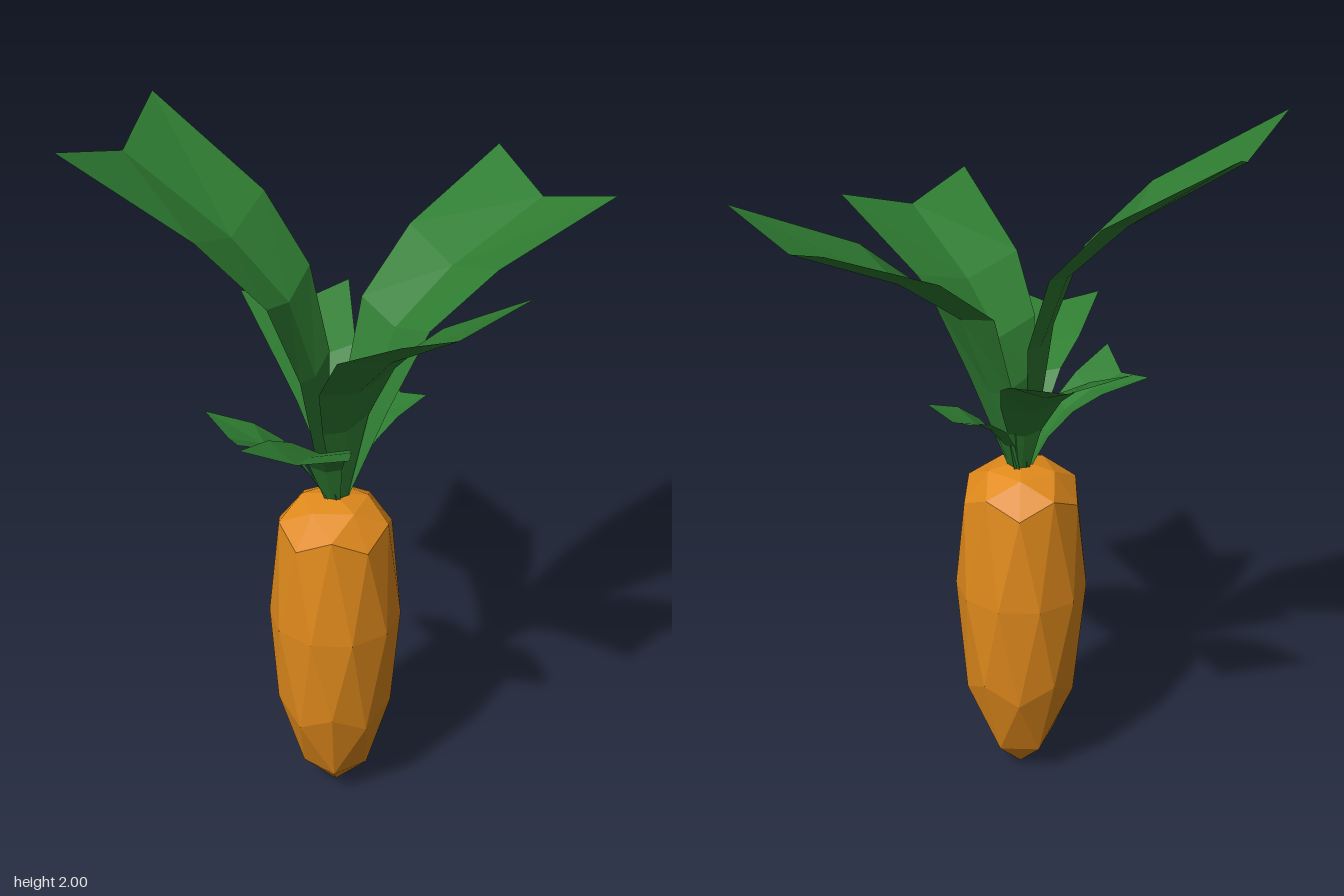
import * as THREE from 'three';
import { ConvexGeometry } from 'three/addons/geometries/ConvexGeometry.js';

const V = (x, y, z) => new THREE.Vector3(x, y, z);
const CROWN = V(-0.045, 1.0, 0.015);

const orange = new THREE.MeshStandardMaterial({ color: 0xe08a1c, flatShading: true });
const green = new THREE.MeshStandardMaterial({ color: 0x2f7d32, flatShading: true, side: THREE.DoubleSide });

// Root: a faceted, stretched ball made of rings [height, radius, sides, start angle in degrees]
function makeRoot() {
  const rings = [
    [0, 0, 1, 0],
    [0.095, 0.098, 5, 36],
    [0.295, 0.163, 5, 0],
    [0.35, 0.172, 5, 36],
    [0.62, 0.189, 10, 18],
    [0.9, 0.168, 5, 0],
    [0.945, 0.16, 5, 36],
    [0.992, 0.098, 5, 0],
    [1.012, 0, 1, 0],
  ];
  const points = [];
  for (const [y, r, sides, start] of rings) {
    for (let i = 0; i < sides; i++) {
      const a = THREE.MathUtils.degToRad(start + (360 / sides) * i);
      points.push(V(-0.05 + r * Math.cos(a), y, 0.02 + r * Math.sin(a)));
    }
  }
  const root = new THREE.Mesh(new ConvexGeometry(points), orange);
  root.name = 'root';
  return root;
}

// Leaf: a strip folded along its middle, widening to a notched tip.
// Each row holds one edge point and the opposite edge point, from stem to tip.
function makeLeaf(name, rows) {
  const edges = rows.map((r) => [V(...r.slice(0, 3)), V(...r.slice(3))]);
  const across = edges[0][1].clone().sub(edges[0][0]).normalize().multiplyScalar(0.022);
  const outward = edges[0][0].clone().add(edges[0][1]).multiplyScalar(0.5).sub(CROWN).setY(0);
  const foot = CROWN.clone().add(outward.normalize().multiplyScalar(0.025));
  edges.unshift([foot.clone().sub(across), foot.clone().add(across)]);

  const positions = [];
  const index = [];
  edges.forEach(([a, b], i) => {
    const width = a.distanceTo(b);
    const mid = a.clone().add(b).multiplyScalar(0.5);
    mid.y -= 0.14 * width;
    // Notch in the tip
    if (i === edges.length - 1) {
      const back = CROWN.clone().sub(mid).setY(0).normalize();
      mid.addScaledVector(back, 0.08 * width);
    }
    for (const p of [a, mid, b]) positions.push(p.x, p.y, p.z);
    if (i === 0) return;
    for (let c = 0; c < 2; c++) {
      const lo = (i - 1) * 3 + c;
      const hi = i * 3 + c;
      index.push(lo, lo + 1, hi + 1, lo, hi + 1, hi);
    }
  });
  const geometry = new THREE.BufferGeometry();
  geometry.setAttribute('position', new THREE.Float32BufferAttribute(positions, 3));
  geometry.setIndex(index);
  geometry.computeVertexNormals();
  const leaf = new THREE.Mesh(geometry, green);
  leaf.name = name;
  return leaf;
}

export function createModel() {
  const model = new THREE.Group();
  model.name = 'carrot';
  model.add(makeRoot());

  const leaves = new THREE.Group();
  leaves.name = 'leaves';
  leaves.add(
    // Three tall leaves
    makeLeaf('tallLeafBackRight', [
      [-0.155, 1.39, 0.07, -0.03, 1.39, -0.1],
      [-0.24, 1.61, 0.07, -0.06, 1.61, -0.19],
      [-0.41, 1.79, 0.02, -0.15, 1.78, -0.33],
      [-0.72, 2.0, -0.14, -0.4, 2.0, -0.58],
    ]),
    makeLeaf('tallLeafLeft', [
      [0.01, 1.27, -0.1, 0.09, 1.27, 0.06],
      [0.08, 1.51, -0.17, 0.19, 1.51, 0.1],
      [0.25, 1.66, -0.285, 0.375, 1.66, 0.095],
      [0.56, 1.81, -0.44, 0.72, 1.81, 0.04],
    ]),
    makeLeaf('tallLeafFront', [
      [-0.1, 1.24, 0.09, 0.05, 1.24, 0.01],
      [-0.125, 1.39, 0.15, 0.11, 1.39, 0.05],
      [-0.11, 1.54, 0.28, 0.21, 1.54, 0.15],
      [-0.035, 1.71, 0.575, 0.365, 1.71, 0.39],
    ]),
    // Four short leaves
    makeLeaf('shortLeafFrontRight', [
      [-0.13, 1.13, 0.06, -0.05, 1.13, 0.1],
      [-0.19, 1.24, 0.11, -0.055, 1.24, 0.19],
      [-0.27, 1.3, 0.19, -0.08, 1.3, 0.31],
      [-0.38, 1.37, 0.35, -0.13, 1.37, 0.47],
    ]),
    makeLeaf('shortLeafBack', [
      [-0.085, 1.13, -0.05, 0.01, 1.13, -0.05],
      [-0.12, 1.24, -0.12, 0.05, 1.24, -0.12],
      [-0.16, 1.34, -0.24, 0.08, 1.34, -0.23],
      [-0.2, 1.44, -0.455, 0.12, 1.44, -0.45],
    ]),
    makeLeaf('shortLeafRight', [
      [-0.12, 1.09, 0.05, -0.12, 1.09, -0.01],
      [-0.17, 1.17, 0.08, -0.18, 1.17, -0.04],
      [-0.235, 1.225, 0.11, -0.255, 1.22, -0.06],
      [-0.345, 1.28, 0.16, -0.385, 1.265, -0.08],
    ]),
    makeLeaf('shortLeafBackLeft', [
      [-0.01, 1.09, -0.05, 0.02, 1.09, 0.01],
      [0.03, 1.16, -0.1, 0.075, 1.16, 0.01],
      [0.085, 1.21, -0.155, 0.14, 1.21, -0.01],
      [0.16, 1.25, -0.23, 0.235, 1.245, -0.05],
    ]),
  );
  model.add(leaves);
  return model;
}
